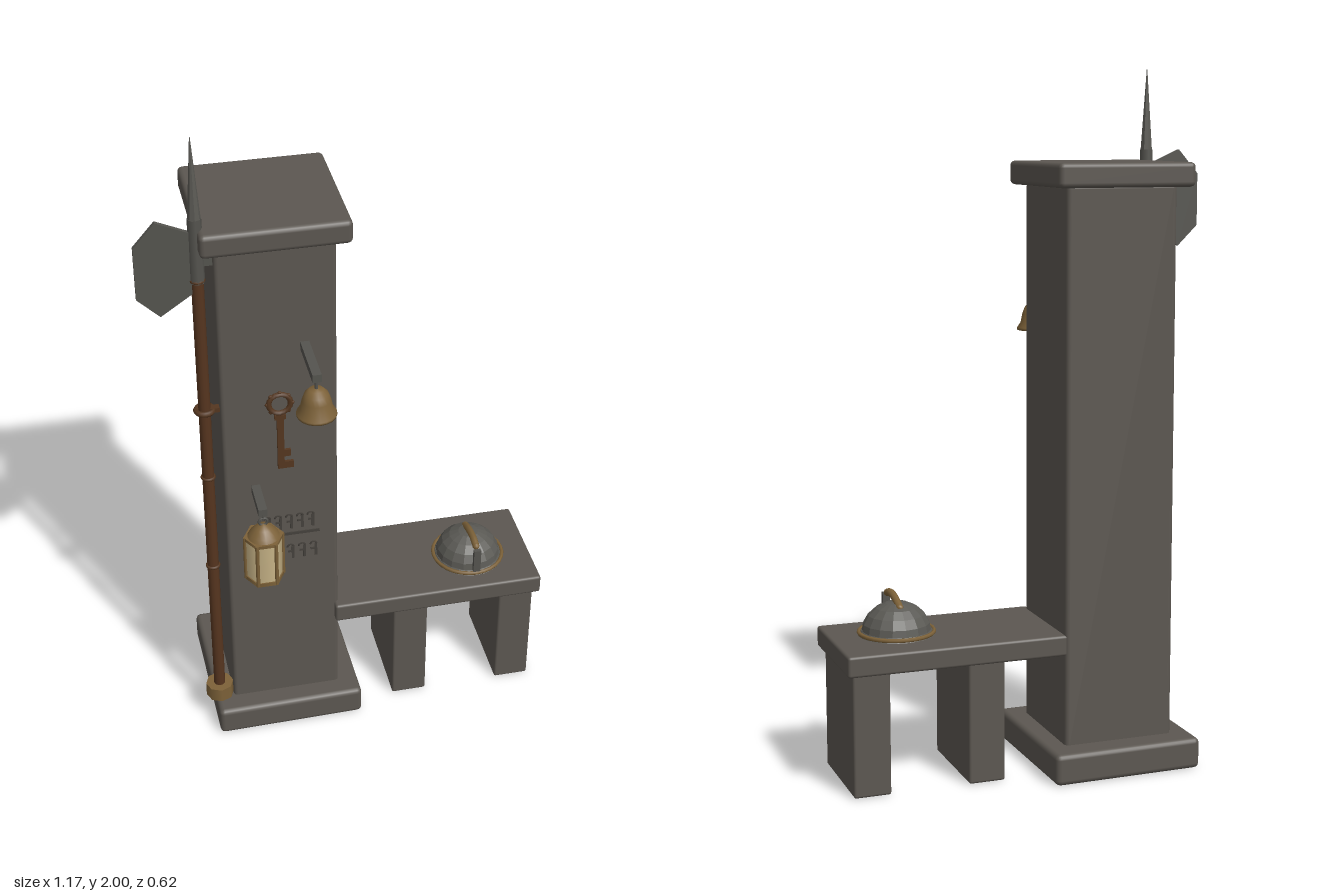
import * as THREE from 'three';
import { RoundedBoxGeometry } from 'three/addons/geometries/RoundedBoxGeometry.js';

export function createModel() {
  const model = new THREE.Group();
  const mat = (name, color, extra = {}) => {
    const m = new THREE.MeshStandardMaterial({ color, ...extra });
    m.name = name;
    return m;
  };
  const stone = mat('stone', 0x5c5751);
  const carved = mat('carved stone', 0x45413c);
  const iron = mat('iron', 0x55544f);
  const steel = mat('faceted steel', 0x5b5a55, { flatShading: true });
  const brass = mat('brass', 0x7d6239);
  const wood = mat('wood', 0x56351f);
  const rust = mat('rust', 0x553720);
  const glass = mat('lantern glass', 0xc9b588);

  const add = (name, geo, material, x = 0, y = 0, z = 0, parent = model) => {
    const mesh = new THREE.Mesh(geo, material);
    mesh.name = name;
    mesh.position.set(x, y, z);
    parent.add(mesh);
    return mesh;
  };
  const group = (name, x, y, z) => {
    const g = new THREE.Group();
    g.name = name;
    g.position.set(x, y, z);
    model.add(g);
    return g;
  };
  const box = (w, h, d) => new THREE.BoxGeometry(w, h, d);
  const cyl = (rt, rb, h, n = 12) => new THREE.CylinderGeometry(rt, rb, h, n);
  const ring = (r, t, n = 20) => new THREE.TorusGeometry(r, t, 6, n).rotateX(Math.PI / 2);
  const lathe = (pts, n) => new THREE.LatheGeometry(pts.map(p => new THREE.Vector2(...p)), n);
  // Stone block given by its extents
  const block = (name, x0, x1, y0, y1, z0, z1, r) => add(name,
    new RoundedBoxGeometry(x1 - x0, y1 - y0, z1 - z0, 2, r), stone,
    (x0 + x1) / 2, (y0 + y1) / 2, (z0 + z1) / 2);

  // Pillar
  block('pillarBase', -0.44, 0.006, 0.002, 0.092, -0.307, 0.163, 0.015).rotation.y = 0.013;
  block('pillarShaft', -0.382, -0.053, 0.08, 1.68, -0.232, 0.098, 0.012);
  block('pillarCap', -0.42, -0.014, 1.672, 1.74, -0.275, 0.13, 0.014);

  // Bench
  block('benchSlab', -0.065, 0.58, 0.355, 0.415, -0.228, 0.122, 0.008);
  block('benchLegInner', 0.12, 0.227, 0.003, 0.36, -0.205, 0.102, 0.007);
  block('benchLegOuter', 0.455, 0.562, 0.003, 0.36, -0.205, 0.102, 0.007);

  // Poleaxe leaning against the pillar corner
  const axe = group('poleaxe', -0.423, 0, 0.077);
  add('shaft', cyl(0.017, 0.017, 1.5), wood, 0, 0.85, 0, axe);
  add('footFerrule', cyl(0.042, 0.042, 0.045, 8), brass, 0, 0.117, 0, axe);
  for (const y of [0.61, 0.935, 1.585]) add('shaftBand', ring(0.017, 0.005), rust, 0, y, 0, axe);
  add('holdingRing', ring(0.024, 0.008), rust, 0, 1.167, 0, axe);
  add('holdingPin', box(0.04, 0.014, 0.02), rust, 0.032, 1.167, 0, axe);
  add('socket', cyl(0.019, 0.021, 0.19, 8), iron, 0, 1.675, 0, axe);
  add('spike', cyl(0.001, 0.018, 0.235, 8), steel, 0, 1.883, 0, axe);
  add('backFluke', box(0.035, 0.035, 0.012), iron, 0.025, 1.645, 0, axe);
  const bladeShape = new THREE.Shape([[-0.01, 1.73], [-0.025, 1.735], [-0.103, 1.77], [-0.164, 1.7],
    [-0.164, 1.547], [-0.103, 1.487], [-0.025, 1.54], [-0.01, 1.55]].map(p => new THREE.Vector2(...p)));
  add('blade', new THREE.ExtrudeGeometry(bladeShape, { depth: 0.012, bevelEnabled: false }),
    iron, 0, 0, -0.006, axe);

  // Wall arms
  const arm = (name, x, y, zEnd) => add(name, box(0.025, 0.024, zEnd - 0.09), iron, x, y, (zEnd + 0.09) / 2);
  arm('bellArm', -0.143, 1.355, 0.265);
  arm('lanternArm', -0.292, 0.887, 0.215);

  // Bell
  const bell = group('bell', -0.143, 0, 0.253);
  add('bellBody', lathe([[0, 1.24], [0.046, 1.24], [0.055, 1.232], [0.055, 1.24], [0.045, 1.255],
    [0.04, 1.28], [0.033, 1.3], [0.02, 1.314], [0, 1.318]], 20), brass, 0, 0, 0, bell);
  add('bellRim', ring(0.051, 0.005), brass, 0, 1.237, 0, bell);
  add('bellHook', cyl(0.005, 0.005, 0.04, 8), iron, 0, 1.332, 0, bell);
  add('clapper', new THREE.SphereGeometry(0.012, 10, 8), brass, 0, 1.216, 0, bell);

  // Hexagonal lantern
  const lantern = group('lantern', -0.292, 0, 0.212);
  const hex = (rt, rb, h) => cyl(rt, rb, h, 6).rotateY(Math.PI / 6);
  add('lanternGlass', hex(0.054, 0.054, 0.14).rotateY(Math.PI / 3), glass, 0, 0.732, 0, lantern);
  add('lanternBottom', hex(0.058, 0.058, 0.012), brass, 0, 0.664, 0, lantern);
  add('lanternTop', hex(0.058, 0.058, 0.01), brass, 0, 0.802, 0, lantern);
  for (let i = 0; i < 6; i++) {
    const a = i * Math.PI / 3;
    add('lanternBar', cyl(0.006, 0.006, 0.145, 6), brass,
      0.054 * Math.cos(a), 0.733, 0.054 * Math.sin(a), lantern);
  }
  add('lanternRoof', lathe([[0.048, 0.804], [0.04, 0.818], [0.024, 0.836], [0.01, 0.845], [0, 0.848]], 16),
    brass, 0, 0, 0, lantern);
  add('lanternLoop', new THREE.TorusGeometry(0.012, 0.004, 6, 14), iron, 0, 0.856, 0, lantern);
  add('lanternHook', cyl(0.004, 0.004, 0.02, 6), iron, 0, 0.872, 0, lantern);

  // Large key hung on the wall
  const key = group('key', -0.217, 0, 0.101);
  add('keyBow', new THREE.TorusGeometry(0.031, 0.008, 6, 16), rust, 0, 1.173, 0, key);
  for (let i = 0; i < 8; i++) {
    const a = i * Math.PI / 4;
    add('bowKnob', new THREE.SphereGeometry(0.006, 6, 5), rust,
      0.036 * Math.cos(a), 1.173 + 0.036 * Math.sin(a), 0, key);
  }
  add('keyCollar', box(0.032, 0.014, 0.014), rust, 0, 1.13, 0, key);
  add('keyStem', box(0.019, 0.185, 0.012), rust, 0, 1.045, 0, key);
  add('keyBit', box(0.045, 0.022, 0.01), rust, 0.013, 0.963, 0, key);
  add('keyBit', box(0.036, 0.022, 0.01), rust, 0.01, 1.004, 0, key);

  // Shallow carved hook marks in two rows with a dividing line
  const marks = group('carvedMarks', 0, 0, 0.099);
  const mark = (x, y) => {
    add('markStem', box(0.008, 0.044, 0.004), carved, x, y, 0, marks);
    add('markHead', new THREE.TorusGeometry(0.009, 0.003, 4, 10, Math.PI), carved, x - 0.007, y + 0.02, 0, marks);
    add('markTick', box(0.016, 0.006, 0.004), carved, x - 0.007, y + 0.004, 0, marks);
  };
  for (let i = 0; i < 5; i++) mark(-0.255 + i * 0.032, 0.747);
  for (let i = 0; i < 6; i++) mark(-0.29 + i * 0.034, 0.635);
  add('dividerLine', box(0.19, 0.009, 0.005), carved, -0.203, 0.706, 0, marks);

  // Brimmed helmet on the bench
  const helmet = group('helmet', 0.388, 0.415, -0.038);
  const dome = new THREE.SphereGeometry(0.1, 16, 5, 0, Math.PI * 2, 0, Math.PI / 2).scale(1, 0.9, 1);
  add('helmetDome', dome, steel, 0, 0.005, 0, helmet);
  add('helmetBrim', cyl(0.1, 0.11, 0.012, 24), steel, 0, 0.007, 0, helmet);
  add('helmetRim', ring(0.107, 0.006, 28), brass, 0, 0.008, 0, helmet);
  const ridge = new THREE.CatmullRomCurve3([[0.088, 0.105], [0.06, 0.112], [0.01, 0.107], [-0.036, 0.09]]
    .map(([z, y]) => new THREE.Vector3(0, y, z)));
  add('helmetComb', new THREE.TubeGeometry(ridge, 14, 0.011, 8), brass, 0, -0.006, 0, helmet);
  for (const z of [0.088, -0.036]) add('combEnd', new THREE.SphereGeometry(0.011, 8, 6), brass,
    0, z > 0 ? 0.099 : 0.084, z, helmet);
  add('noseGuard', box(0.022, 0.08, 0.012), iron, 0, 0.056, 0.105, helmet);

  return model;
}
